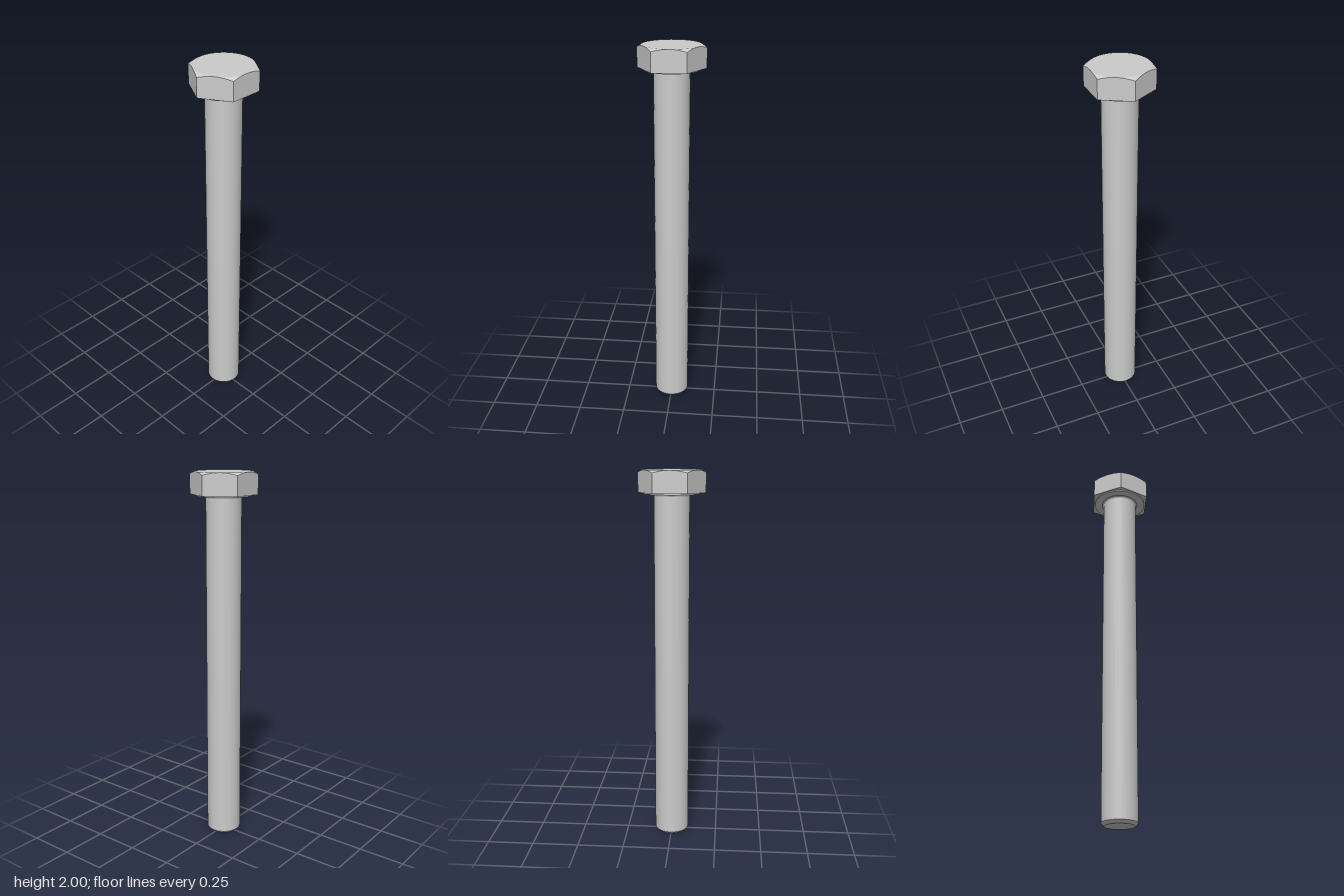
import * as THREE from 'three';
import { toCreasedNormals } from 'three/addons/utils/BufferGeometryUtils.js';

const CREASE = 0.35;
const APOTHEM = 0.152;
const HEAD_BOTTOM = 1.885;
const material = new THREE.MeshStandardMaterial({ color: 0xcccccc });

function turned(profile, segments) {
  return new THREE.LatheGeometry(profile.map(([r, y]) => new THREE.Vector2(r, y)), segments);
}

function part(name, geometry) {
  const mesh = new THREE.Mesh(toCreasedNormals(geometry, CREASE), material);
  mesh.name = name;
  return mesh;
}

// Hexagonal head: the outer rings are pushed out to a hexagon, and its top
// edge follows a 30 degree chamfer cone, giving the arched edge on each flat.
function hexHead() {
  const geometry = turned([[0, HEAD_BOTTOM], [1, HEAD_BOTTOM], [1, 1.95], [APOTHEM, 2], [0, 2]], 48);
  const pos = geometry.attributes.position;
  const sector = Math.PI / 3;
  for (let i = 0; i < pos.count; i++) {
    const x = pos.getX(i), y = pos.getY(i), z = pos.getZ(i);
    if (Math.hypot(x, z) < 0.5) continue;
    const angle = Math.atan2(x, z);
    const offset = angle - Math.round(angle / sector) * sector;
    const r = APOTHEM / Math.cos(offset);
    const top = 2 - (r - APOTHEM) * Math.tan(Math.PI / 6);
    pos.setXYZ(i, x * r, y > 1.9 ? top : y, z * r);
  }
  return geometry;
}

export function createModel() {
  const bolt = new THREE.Group();
  bolt.name = 'hexBolt';

  bolt.add(part('head', hexHead()));

  // Thin raised bearing face under the head
  bolt.add(part('washerFace', turned(
    [[0, 1.879], [0.145, 1.879], [0.145, HEAD_BOTTOM]], 48)));

  // Shank with chamfered tip and a small fillet under the head
  bolt.add(part('shank', turned(
    [[0, 0], [0.078, 0], [0.093, 0.016], [0.093, 1.869], [0.095, 1.874], [0.102, 1.879]], 32)));

  return bolt;
}
